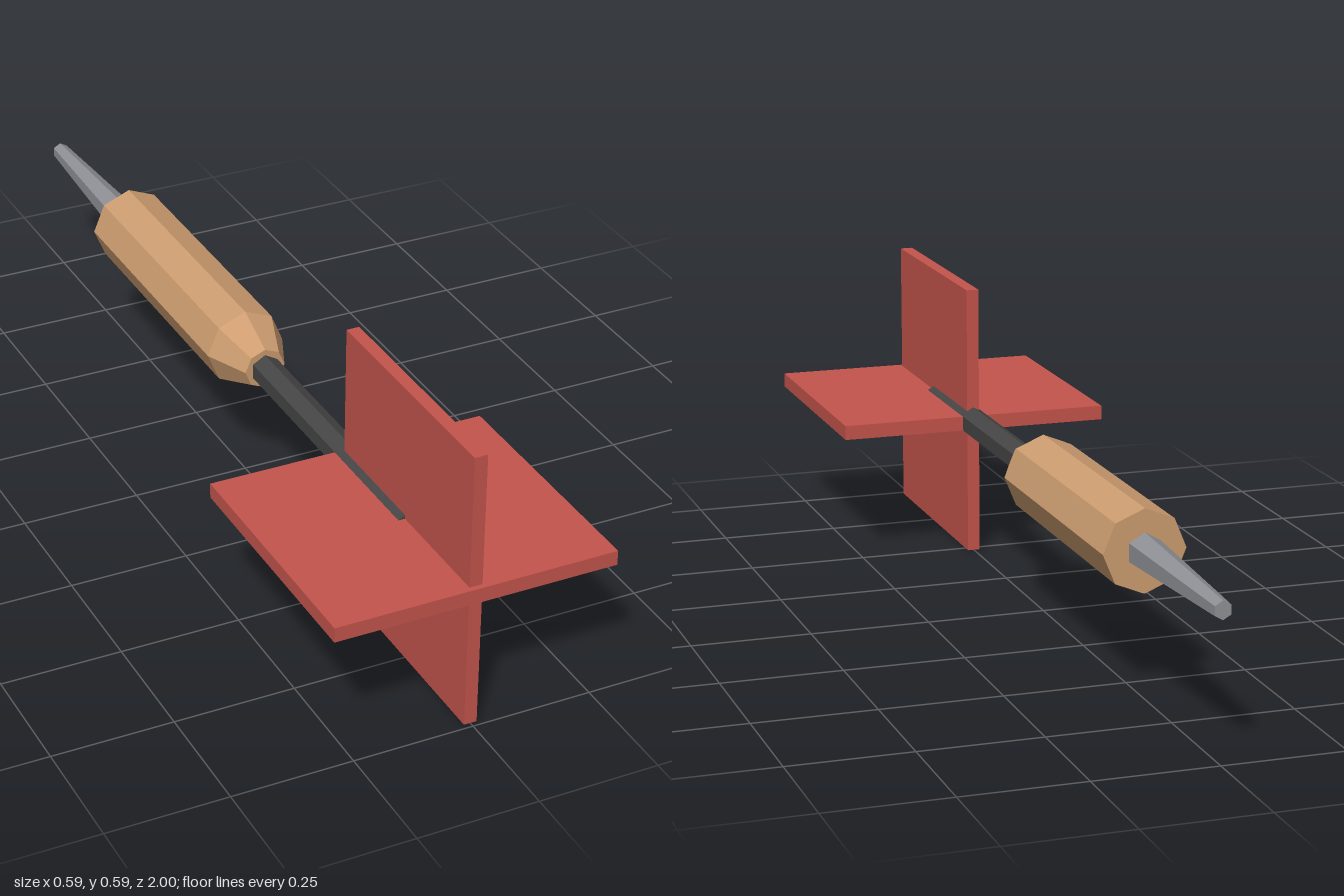
import * as THREE from 'three';

const AXIS_Y = 0.294;

function material(name, color) {
  const m = new THREE.MeshStandardMaterial({ color, flatShading: true });
  m.name = name;
  return m;
}

export function createModel() {
  const group = new THREE.Group();
  group.name = 'dart';
  const red = material('red', 0xc4544c);
  const wood = material('wood', 0xcd9d70);
  const dark = material('darkGrey', 0x464646);
  const steel = material('steel', 0x8f9196);

  function add(name, geometry, mat, z) {
    const mesh = new THREE.Mesh(geometry, mat);
    mesh.name = name;
    mesh.position.set(0, AXIS_Y, z);
    group.add(mesh);
  }

  // Faceted frustum lying along z, from back (z0, r0) to front (z1, r1)
  function frustum(name, z0, r0, z1, r1, sides, mat, open = false) {
    const g = new THREE.CylinderGeometry(r1, r0, z1 - z0, sides, 1, open);
    g.rotateX(Math.PI / 2);
    add(name, g, mat, (z0 + z1) / 2);
  }

  // Metal point
  frustum('point', -1, 0.0185, -0.59, 0.0375, 6, steel);

  // Wooden barrel, tapered toward the shaft
  const profile = [[0, -0.6], [0.0845, -0.6], [0.0845, 0], [0.044, 0.095], [0, 0.095]];
  const barrel = new THREE.LatheGeometry(profile.map(([r, z]) => new THREE.Vector2(r, z)), 8);
  barrel.rotateX(Math.PI / 2);
  add('barrel', barrel, wood, 0);

  // Shaft running into the flights
  frustum('shaft', 0.08, 0.0315, 0.735, 0.0315, 6, dark);

  // Crossed flights
  add('horizontalFlight', new THREE.BoxGeometry(0.588, 0.031, 0.533), red, 0.7335);
  add('verticalFlight', new THREE.BoxGeometry(0.027, 0.588, 0.508), red, 0.735);

  return group;
}
